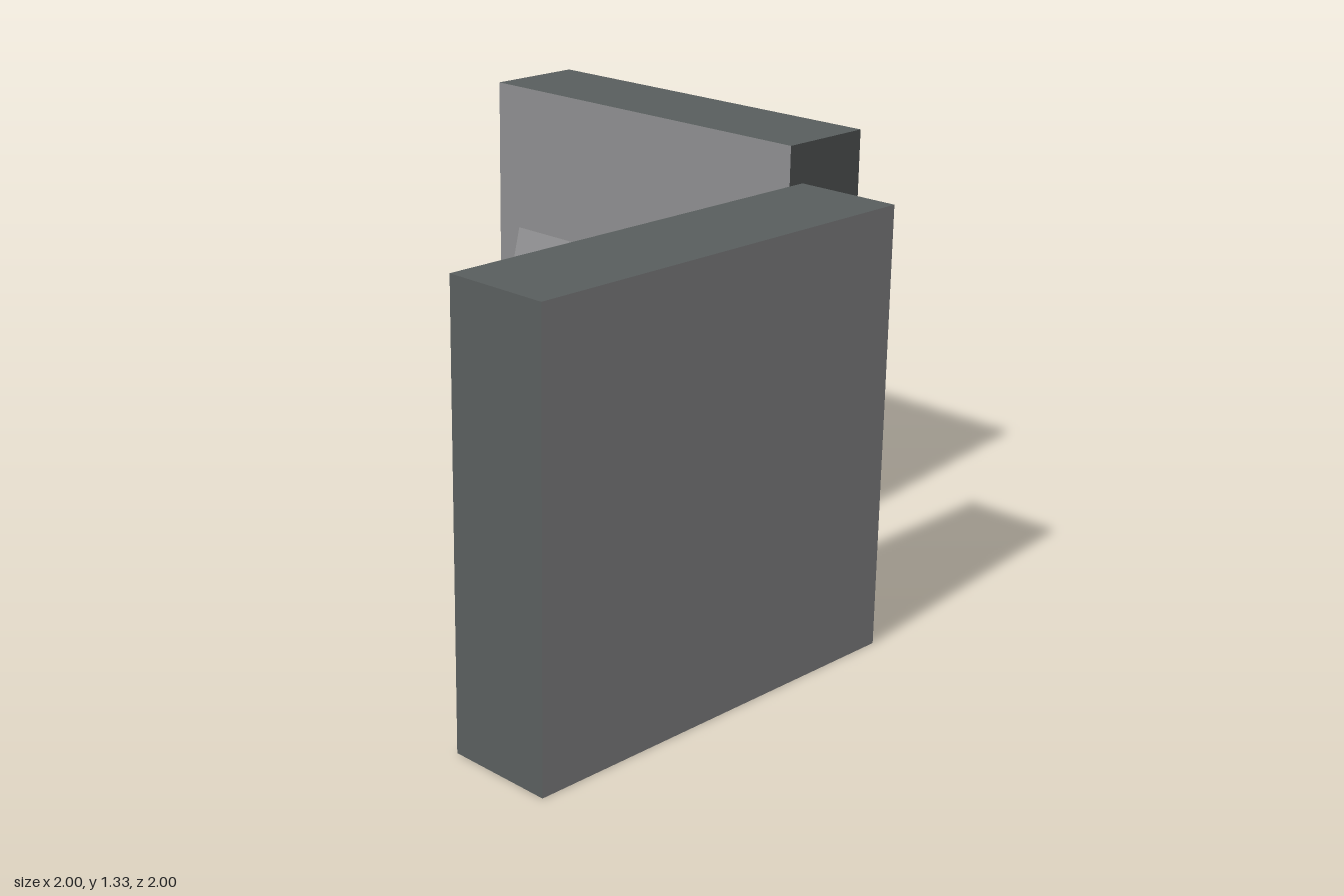
import * as THREE from 'three';

export function createModel() {
  const model = new THREE.Group();
  const faceGrey = new THREE.MeshStandardMaterial({ color: 0x8f8f91 });
  faceGrey.name = 'face grey';
  const edgeGrey = new THREE.MeshStandardMaterial({ color: 0x5a5f5f });
  edgeGrey.name = 'edge grey';

  const size = 4 / 3, thick = 1 / 3;

  // Square plates: light broad faces, dark rim (box groups: +x -x +y -y +z -z)
  function addPlate(name, x, z, turn) {
    const geometry = new THREE.BoxGeometry(size, size, thick);
    const materials = [edgeGrey, edgeGrey, edgeGrey, edgeGrey, faceGrey, faceGrey];
    const plate = new THREE.Mesh(geometry, materials);
    plate.name = name;
    plate.position.set(x, size / 2, z);
    plate.rotation.y = turn;
    model.add(plate);
  }
  addPlate('frontPlate', -1 / 3, 5 / 6, 0);
  addPlate('leftPlate', 5 / 6, -1 / 3, Math.PI / 2);

  // Diagonal bar, mitred flush against both plates
  const inner = 2 / 3, half = thick * Math.SQRT1_2;
  const outline = new THREE.Shape([
    new THREE.Vector2(-inner - half, -inner),
    new THREE.Vector2(-inner + half, -inner),
    new THREE.Vector2(inner, inner - half),
    new THREE.Vector2(inner, inner + half),
  ]);
  const barGeometry = new THREE.ExtrudeGeometry(outline, { depth: thick, bevelEnabled: false });
  barGeometry.rotateX(-Math.PI / 2);
  const bar = new THREE.Mesh(barGeometry, faceGrey);
  bar.name = 'diagonalBar';
  bar.position.y = 0.5;
  model.add(bar);

  return model;
}
